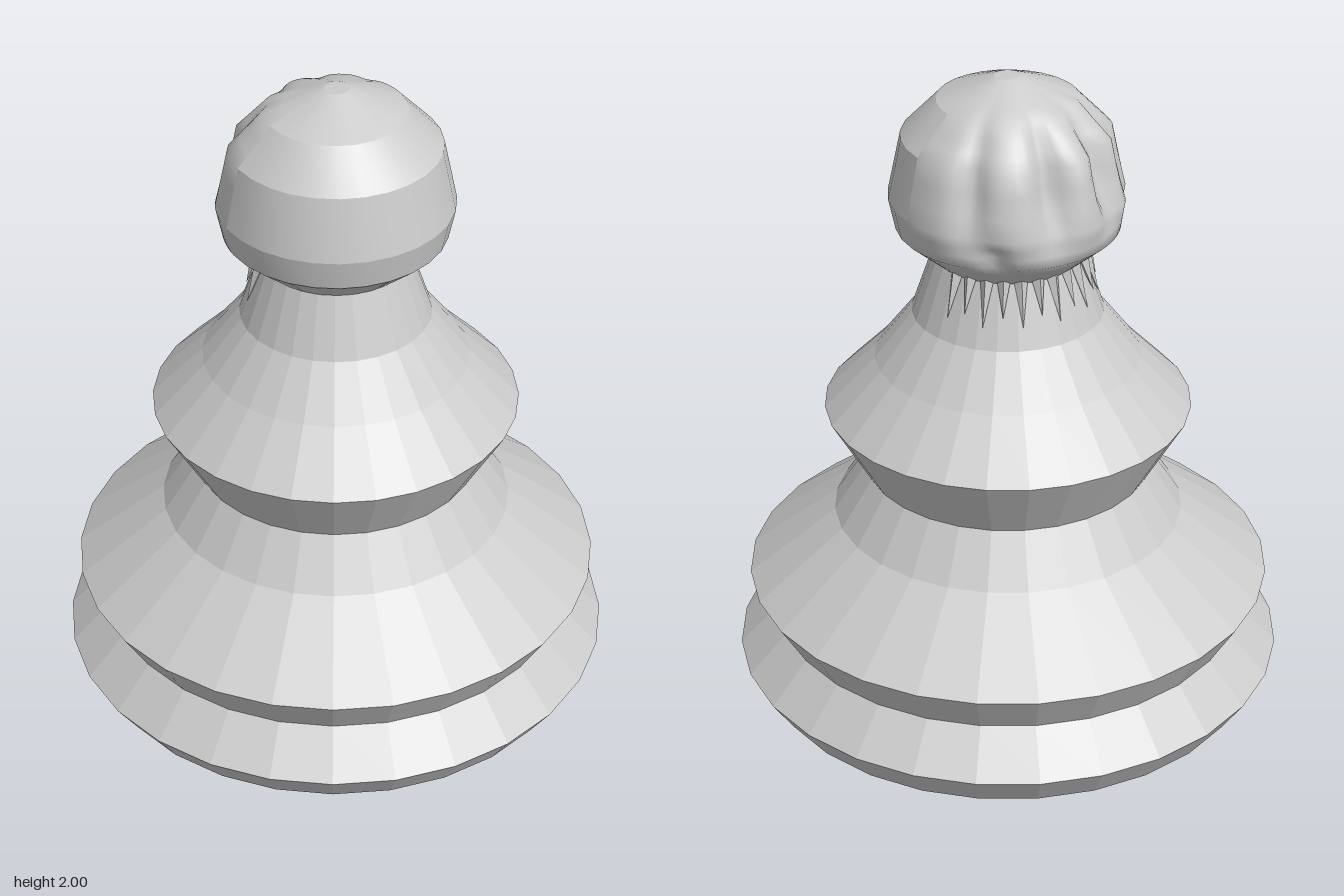
import * as THREE from 'three';
import { toCreasedNormals } from 'three/addons/utils/BufferGeometryUtils.js';

const SIDES = 28;
const START = -0.047;
const points = (list) => list.map(([r, y]) => new THREE.Vector2(r, y));

// Profiles as [radius, height], bottom to top
const BODY = [
  [0, 0], [0.78, 0], [0.85, 0.105], [0.73, 0.23], [0.81, 0.365], [0.54, 0.575],
  [0.44, 0.73], [0.56, 0.94], [0.405, 1.1], [0.29, 1.25], [0.225, 1.44],
];
const HEAD = [
  [0.225, 1.44], [0.335, 1.535], [0.355, 1.63], [0.315, 1.82],
  [0.21, 1.93], [0.04, 2], [0, 2],
];

// Grooves in the back of the head: [angle from the back, width, depth]
const GROOVES = [[-0.95, 0.13, 0.1], [-0.48, 0.17, 0.2], [0.2, 0.16, 0.2], [0.95, 0.15, 0.13]];

// Divides each profile segment into n steps
function subdivide(profile, n) {
  const out = [];
  for (let i = 0; i < profile.length - 1; i++) {
    for (let k = 0; k < n; k++) {
      out.push(profile[i].map((v, c) => v + (profile[i + 1][c] - v) * k / n));
    }
  }
  out.push(profile[profile.length - 1]);
  return out;
}

// Smooth half head, its radius pressed in along the grooves
function makeHeadBack() {
  const geometry = new THREE.LatheGeometry(points(subdivide(HEAD, 3)), 42, Math.PI / 2, Math.PI);
  const pos = geometry.attributes.position;
  for (let i = 0; i < pos.count; i++) {
    const x = pos.getX(i), y = pos.getY(i), z = pos.getZ(i);
    const angle = Math.atan2(x, -z);
    const height = THREE.MathUtils.clamp((y - 1.53) / 0.46, 0, 1);
    const fade = Math.sin(Math.PI * Math.pow(height, 1.2));
    let dent = 0;
    for (const [a, width, depth] of GROOVES) {
      dent += depth * Math.exp(-(((angle - a) / width) ** 2));
    }
    // Small pit low on the side
    const pit = 0.1 * Math.exp(-(((angle - 0.72) / 0.12) ** 2) - ((y - 1.56) / 0.05) ** 2);
    const k = 1 - dent * fade - pit;
    pos.setXYZ(i, x * k, y, z * k);
  }
  geometry.computeVertexNormals();
  return geometry;
}

export function createModel() {
  const model = new THREE.Group();
  const smooth = new THREE.MeshStandardMaterial({ color: 0xcccccc });
  const faceted = new THREE.MeshStandardMaterial({ color: 0xcccccc, flatShading: true });
  const add = (name, geometry, material, parent = model) => {
    const mesh = new THREE.Mesh(geometry, material);
    mesh.name = name;
    parent.add(mesh);
    return mesh;
  };

  // Stepped base, waist and neck
  add('body', new THREE.LatheGeometry(points(BODY), SIDES, START, Math.PI * 2), faceted);

  // Plain front half of the head, in sharp bands
  const front = new THREE.LatheGeometry(points(HEAD), SIDES / 2, -Math.PI / 2, Math.PI);
  add('headFront', toCreasedNormals(front, 0.25), smooth);

  // Grooved back half of the head
  add('headBack', makeHeadBack(), smooth);

  // Jagged fringe lying on the back of the neck
  const fringe = new THREE.Group();
  fringe.name = 'neckFringe';
  model.add(fringe);
  const count = 13;
  for (let i = 0; i < count; i++) {
    const length = i % 2 ? 0.15 : 0.18;
    const spike = new THREE.ConeGeometry(0.026, length, 4);
    spike.rotateX(Math.PI - 0.33);
    spike.translate(0, 1.49 - length / 2, 0.242);
    spike.rotateY(Math.PI + (i / (count - 1) - 0.5) * 2.65);
    add('fringeSpike', spike, faceted, fringe);
  }
  return model;
}
